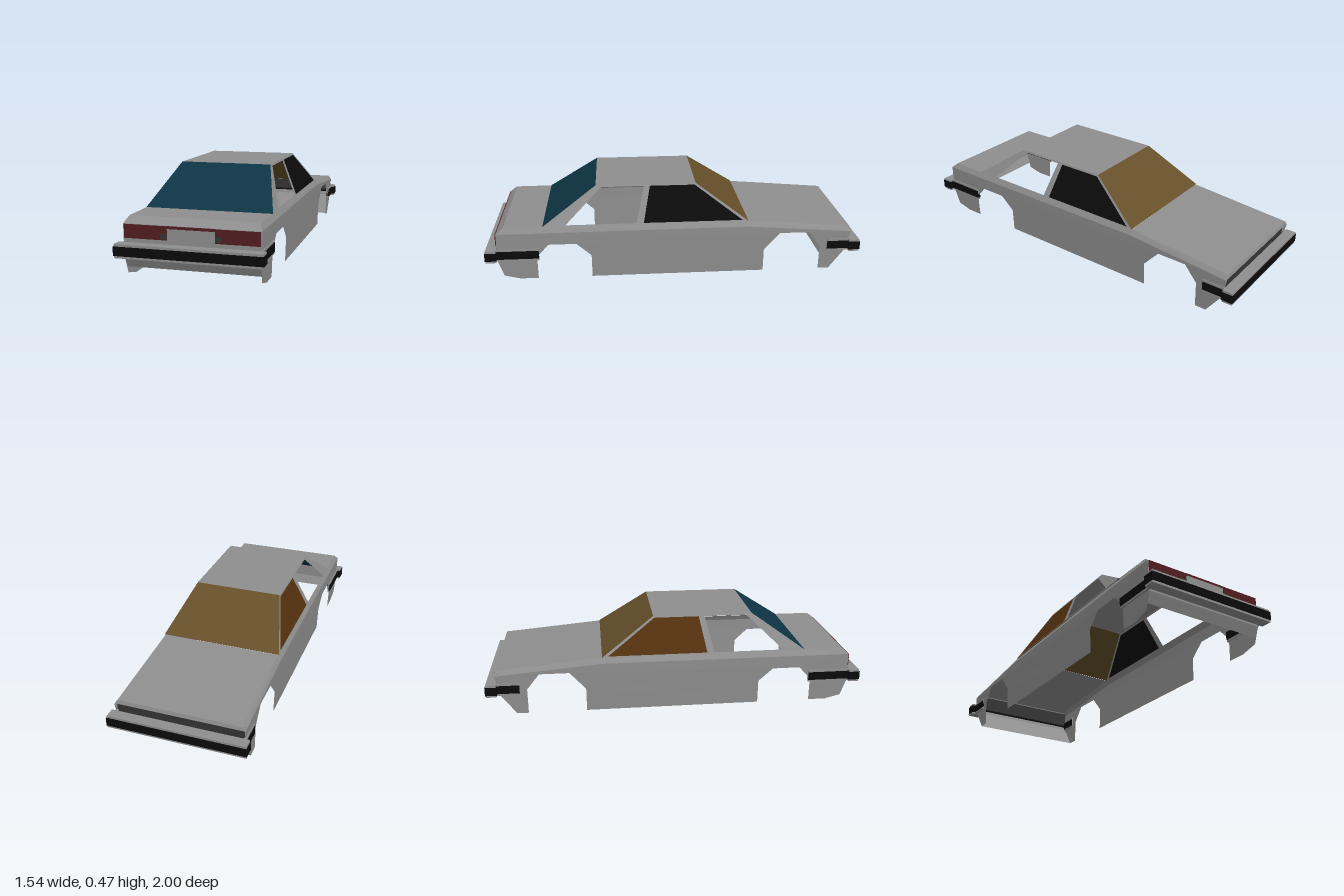
import * as THREE from 'three';

const mat = (name, color) => {
  const m = new THREE.MeshStandardMaterial({ color, side: THREE.DoubleSide });
  m.name = name;
  return m;
};

export function createModel() {
  const body = mat('body grey', 0x8f8f8f);
  const trim = mat('black trim', 0x0b0b0b);
  const amber = mat('windscreen amber', 0x66502a);
  const brown = mat('side glass brown', 0x54320f);
  const teal = mat('rear glass teal', 0x0e3545);
  const red = mat('tail light red', 0x521d20);
  const dark = mat('grille grey', 0x353535);

  const model = new THREE.Group();
  const car = new THREE.Group();
  car.name = 'car';
  car.rotation.y = Math.PI / 6; // the car stands at an angle, nose towards -z
  model.add(car);

  const add = (name, geometry, material) => {
    const mesh = new THREE.Mesh(geometry, material);
    mesh.name = name;
    car.add(mesh);
    return mesh;
  };

  // Panel that spans the full width: [halfWidth, y, z] stations joined by flat strips
  const span = (name, stations, material) => {
    const p = [];
    for (let i = 0; i < stations.length - 1; i++) {
      const [w0, y0, z0] = stations[i], [w1, y1, z1] = stations[i + 1];
      p.push(-w0, y0, z0, -w1, y1, z1, w1, y1, z1, -w0, y0, z0, w1, y1, z1, w0, y0, z0);
    }
    const g = new THREE.BufferGeometry();
    g.setAttribute('position', new THREE.Float32BufferAttribute(p, 3));
    g.computeVertexNormals();
    return add(name, g, material);
  };

  // Side panel drawn in (z, y); its x follows a width rule
  const points = (list) => list.map(([z, y]) => new THREE.Vector2(z, y));
  const sidePanel = (name, outline, side, width, material, holes = []) => {
    const shape = new THREE.Shape(points(outline));
    for (const h of holes) shape.holes.push(new THREE.Path(points(h)));
    let g = new THREE.ShapeGeometry(shape);
    const pos = g.attributes.position;
    for (let i = 0; i < pos.count; i++) {
      const z = pos.getX(i), y = pos.getY(i);
      pos.setXYZ(i, side * width(y, z), y, z);
    }
    if (side > 0) { // keep the outside facing outward
      const idx = g.index.array;
      for (let i = 0; i < idx.length; i += 3) [idx[i], idx[i + 1]] = [idx[i + 1], idx[i]];
    }
    g = g.toNonIndexed();
    g.computeVertexNormals();
    return add(name, g, material);
  };

  const lowerWidth = (y) => 0.308 + 0.007 * Math.min(1, y / 0.2);
  const cabinWidth = (y) => 0.305 - (y - 0.28) * (0.08 / 0.185);

  // Belt line from nose to tail, and the shoulder crease just below it
  const belt = [[-0.905, 0.232], [-0.375, 0.279], [0.86, 0.28]];
  const crease = [[-0.91, 0.208], [-0.375, 0.252], [0.897, 0.25]];

  // Lower side with both wheel arches cut into its bottom edge
  const lower = [
    ...crease, [0.897, 0.1], [0.87, 0.02], [0.79, 0], [0.7, 0],
    [0.7, 0.12], [0.64, 0.187], [0.5, 0.187], [0.426, 0.12], [0.426, 0],
    [-0.46, 0], [-0.46, 0.12], [-0.54, 0.21], [-0.69, 0.21], [-0.753, 0.13], [-0.753, 0],
    [-0.81, 0], [-0.89, 0.11],
  ];
  const cabin = [[-0.375, 0.28], [-0.11, 0.465], [0.395, 0.465], [0.665, 0.28]];
  const frontWindow = [[-0.345, 0.285], [-0.105, 0.456], [0.122, 0.456], [0.158, 0.285]];
  const rearWindow = [[0.195, 0.285], [0.152, 0.456], [0.368, 0.456], [0.55, 0.285]];

  for (const side of [1, -1]) {
    const label = side > 0 ? 'left' : 'right';
    sidePanel(label + 'Side', lower, side, lowerWidth, body);
    // Shoulder chamfer between crease and belt
    const sh = [];
    for (let i = 0; i < 2; i++) {
      const a = [side * 0.3, belt[i][1], belt[i][0]], b = [side * 0.315, crease[i][1], crease[i][0]];
      const c = [side * 0.315, crease[i + 1][1], crease[i + 1][0]], d = [side * 0.3, belt[i + 1][1], belt[i + 1][0]];
      sh.push(...(side > 0 ? [a, d, b, b, d, c] : [a, b, d, b, c, d]).flat());
    }
    const g = new THREE.BufferGeometry();
    g.setAttribute('position', new THREE.Float32BufferAttribute(sh, 3));
    g.computeVertexNormals();
    add(label + 'Shoulder', g, body);

    // Pillars around a glazed front and an open rear window
    sidePanel(label + 'Pillars', cabin, side, cabinWidth, body, [frontWindow, rearWindow]);
    sidePanel(label + 'FrontWindow', frontWindow, side, cabinWidth, side > 0 ? trim : brown);
  }

  // Bonnet, glass, roof, boot
  span('bonnet', [[0.3, 0.279, -0.375], [0.3, 0.232, -0.905]], body);
  span('windscreen', [[0.225, 0.465, -0.11], [0.305, 0.28, -0.375]], amber);
  span('roof', [[0.225, 0.465, 0.395], [0.225, 0.465, -0.11]], body);
  span('rearWindow', [[0.305, 0.28, 0.665], [0.225, 0.465, 0.395]], teal);
  span('bootLid', [[0.3, 0.28, 0.86], [0.303, 0.28, 0.665]], body);
  span('tailPanel', [[0.308, 0.05, 0.875], [0.313, 0.1, 0.897], [0.315, 0.25, 0.897], [0.3, 0.28, 0.86]], body);

  // Nose: recessed grille and sloping chin
  span('noseLip', [[0.3, 0.232, -0.905], [0.313, 0.214, -0.91]], body);
  span('grille', [[0.312, 0.22, -0.89], [0.312, 0.14, -0.89]], dark);
  span('chin', [[0.313, 0.13, -0.895], [0.311, 0.11, -0.89], [0.308, 0, -0.81]], body);

  const box = (name, w, h, d, x, y, z, material) =>
    add(name, new THREE.BoxGeometry(w, h, d), material).position.set(x, y, z);

  // Tail lights and the number plate panel
  for (const s of [1, -1]) box('tailLight', 0.2, 0.062, 0.008, s * 0.21, 0.217, 0.898, red);
  box('lightBand', 0.22, 0.012, 0.008, 0, 0.243, 0.898, red);
  box('plate', 0.21, 0.05, 0.008, 0, 0.212, 0.899, body);
  for (const s of [1, -1]) box('plateSlot', 0.03, 0.024, 0.009, s * 0.125, 0.203, 0.899, dark);

  // Bumpers with a black rubbing band, wrapping back to the arches
  for (const [name, dir, end] of [['rear', 1, 0.69], ['front', -1, 0.79]]) {
    box(name + 'Bumper', 0.672, 0.063, 0.052, 0, 0.1365, dir * 0.928, body);
    box(name + 'BumperBand', 0.678, 0.042, 0.058, 0, 0.1365, dir * 0.928, trim);
    for (const s of [1, -1]) {
      const len = 0.91 - end, z = dir * (end + len / 2);
      box(name + 'BumperSide', 0.012, 0.063, len, s * 0.313, 0.1365, z, body);
      box(name + 'BumperSideBand', 0.016, 0.042, len, s * 0.313, 0.1365, z, trim);
    }
  }
  return model;
}
